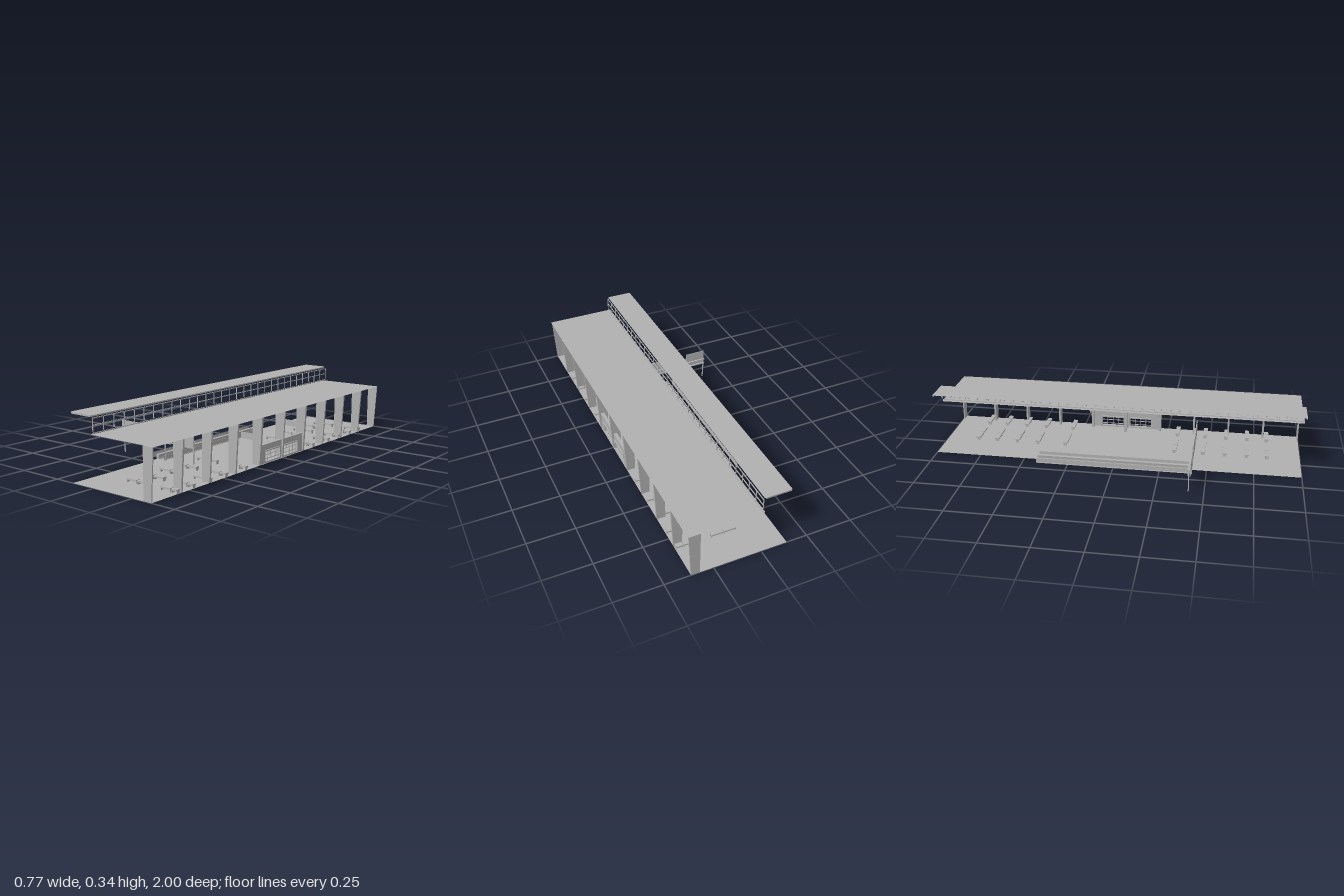
import * as THREE from 'three';

const grey = new THREE.MeshStandardMaterial({ color: 0xb0b0b0, side: THREE.DoubleSide });
grey.name = 'concrete grey';

export function createModel() {
  const model = new THREE.Group();
  model.name = 'stationPlatform';

  const add = (parent, name, geometry, x = 0, y = 0, z = 0) => {
    const mesh = new THREE.Mesh(geometry, grey);
    mesh.name = name;
    mesh.position.set(x, y, z);
    parent.add(mesh);
    return mesh;
  };
  // box given by its lower and upper limits on each axis
  const block = (parent, name, x0, x1, y0, y1, z0, z1) =>
    add(parent, name, new THREE.BoxGeometry(x1 - x0, y1 - y0, z1 - z0),
      (x0 + x1) / 2, (y0 + y1) / 2, (z0 + z1) / 2);
  // flat horizontal sheet running the full length
  const sheet = (name, x0, x1, y) =>
    add(model, name, new THREE.PlaneGeometry(x1 - x0, 2).rotateX(-Math.PI / 2), (x0 + x1) / 2, y, 0);
  const group = (name) => {
    const g = new THREE.Group();
    g.name = name;
    model.add(g);
    return g;
  };
  const polygon = (points) => new THREE.Shape(points.map(([x, y]) => new THREE.Vector2(x, y)));

  sheet('floor', -0.14, 0.365, 0);
  sheet('mainRoof', -0.005, 0.385, 0.252);
  sheet('upperRoof', -0.14, 0.005, 0.342);

  // upper roof rafters and edge beam
  const rafters = group('rafters');
  for (let i = 0; i <= 40; i++) {
    const z = -0.996 + i * 0.0498;
    block(rafters, 'rafter', -0.135, -0.005, 0.333, 0.341, z - 0.003, z + 0.003);
  }
  block(model, 'upperRoofBeam', -0.008, -0.004, 0.333, 0.341, -1, 1);

  // clerestory: two rows of open panes
  const clerestory = group('clerestory');
  for (const y of [0.259, 0.296, 0.329]) {
    block(clerestory, 'windowRail', 0.005, 0.009, y - 0.002, y + 0.002, -1, 1);
  }
  for (let i = 0; i <= 30; i++) {
    const z = -0.998 + i * 0.06653;
    block(clerestory, 'lowerMullion', 0.006, 0.01, 0.266, 0.295, z - 0.0015, z + 0.0015);
    block(clerestory, 'upperMullion', 0.006, 0.01, 0.298, 0.327, z - 0.0015, z + 0.0015);
  }

  // tapered columns along the wall side
  const columns = group('columns');
  const columnShape = polygon([[0.32, 0], [0.365, 0], [0.38, 0.25], [0.32, 0.25]]);
  for (let i = -5; i <= 5; i++) {
    const depth = Math.abs(i) === 5 ? 0.006 : Math.abs(i) === 1 ? 0.013 : 0.01;
    const z = THREE.MathUtils.clamp(i * 0.2, -1 + depth / 2, 1 - depth / 2);
    add(columns, 'column',
      new THREE.ExtrudeGeometry(columnShape, { depth, bevelEnabled: false }), 0, 0, z - depth / 2);
  }

  // entrance wall with two openings
  const entrance = group('entrance');
  const wallShape = polygon([[-0.2, 0], [0.2, 0], [0.2, 0.1], [-0.2, 0.1]]);
  for (const side of [-1, 1]) {
    const c = side * 0.083;
    wallShape.holes.push(polygon([[c - 0.065, 0.008], [c - 0.065, 0.066], [c + 0.065, 0.066], [c + 0.065, 0.008]]));
    // window bars and hood of each opening
    for (let i = 0; i <= 4; i++) {
      const z = c - 0.0635 + i * 0.03175;
      block(entrance, 'windowBar', 0.348, 0.352, 0.008, 0.066, z - 0.0015, z + 0.0015);
    }
    for (const y of [0.02, 0.042, 0.058]) {
      block(entrance, 'windowBar', 0.348, 0.352, y - 0.0015, y + 0.0015, c - 0.065, c + 0.065);
    }
    block(entrance, 'openingHood', 0.335, 0.366, 0.064, 0.069, c - 0.067, c + 0.067);
    // sign plate projecting inwards from the column
    block(model, 'signPlate', 0.245, 0.318, 0.127, 0.159, side * 0.2 - 0.003, side * 0.2 + 0.003);
  }
  add(entrance, 'entranceWall',
    new THREE.ExtrudeGeometry(wallShape, { depth: 0.018, bevelEnabled: false }).rotateY(-Math.PI / 2), 0.36, 0, 0);
  block(entrance, 'ticketPedestal', 0.276, 0.288, 0, 0.025, -0.006, 0.006);
  block(entrance, 'ticketPost', 0.273, 0.276, 0.025, 0.075, -0.003, 0.003);

  // benches in two rows across the floor, mirrored about the entrance
  const benches = group('benches');
  for (const side of [-1, 1]) {
    for (const d of [0.31, 0.47, 0.59, 0.71, 0.82]) {
      const z = side * d;
      for (const [x0, x1] of [[0.045, 0.11], [0.115, 0.177], [0.26, 0.322], [0.327, 0.362]]) {
        block(benches, 'benchSeat', x0, x1, 0.012, 0.02, z - 0.012, z + 0.012);
        block(benches, 'benchRail', x0, x1, 0.009, 0.012, z - 0.002, z + 0.002);
        for (const x of [x0 + 0.002, x1 - 0.002]) {
          block(benches, 'benchLeg', x - 0.001, x + 0.001, 0, 0.012, z - 0.009, z + 0.009);
        }
      }
    }
  }

  // long track-side barriers: two thin angles and a rounded bar between them
  const barriers = group('trackBarriers');
  const length = 0.85;
  for (const [x, dir] of [[-0.177, -1], [-0.092, 1]]) {
    block(barriers, 'barrierPlate', x - 0.001, x + 0.001, 0, 0.025, -length / 2, length / 2);
    block(barriers, 'barrierFoot', Math.min(x, x + dir * 0.007), Math.max(x, x + dir * 0.007),
      0, 0.002, -length / 2, length / 2);
  }
  const barShape = polygon([[-0.143, 0], [-0.125, 0], [-0.127, 0.012], [-0.125, 0.025], [-0.143, 0.025], [-0.141, 0.012]]);
  add(barriers, 'middleBar',
    new THREE.ExtrudeGeometry(barShape, { depth: length, bevelEnabled: false }), 0, 0, -length / 2);

  // sign gantry standing across the platform edge
  const gantry = group('signGantry');
  for (const [x0, x1] of [[-0.387, -0.27], [-0.231, -0.037], [0, 0.118]]) {
    block(gantry, 'signPanel', x0, x1, 0.093, 0.178, 0.426, 0.43);
  }
  for (const y of [0.098, 0.125]) {
    block(gantry, 'gantryRail', -0.387, 0.118, y - 0.003, y + 0.003, 0.414, 0.422);
  }
  for (const x of [-0.38, -0.186, -0.083, 0.11]) {
    const post = add(gantry, 'gantryPost', new THREE.BoxGeometry(0.005, 0.128, 0.005), x, 0.064, 0.42);
    post.rotation.z = x === -0.38 ? 0.04 : x === 0.11 ? -0.03 : 0;
  }

  return model;
}
